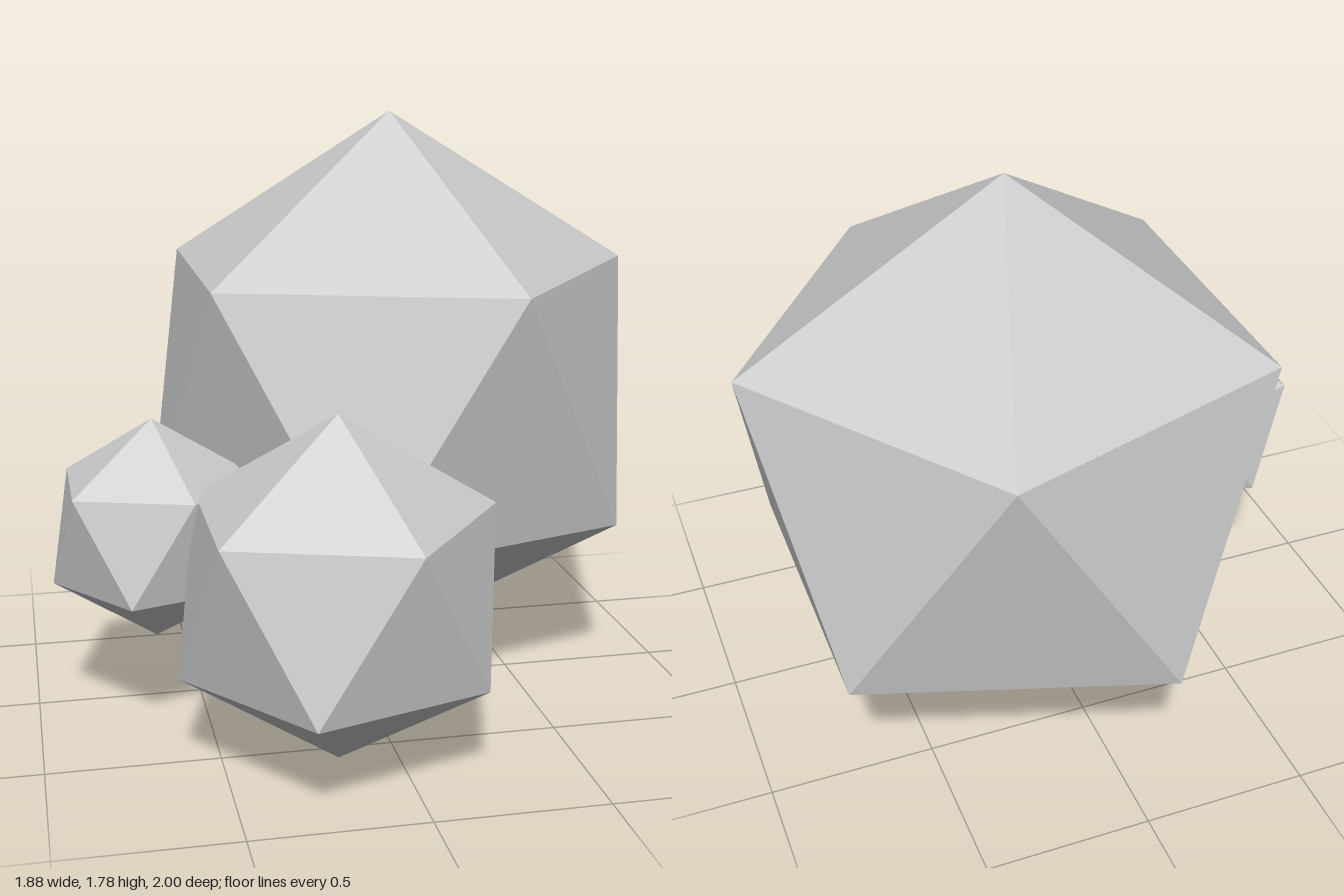
import * as THREE from 'three';

export function createModel() {
  const group = new THREE.Group();
  group.name = 'rockCluster';
  const material = new THREE.MeshStandardMaterial({ color: 0xcccccc, flatShading: true });

  // Icosahedron tipped so that one corner points straight up
  const golden = (1 + Math.sqrt(5)) / 2;
  const rock = new THREE.IcosahedronGeometry(1, 0);
  rock.rotateZ(-Math.atan(1 / golden));

  function addRock(name, radius, x, y, z) {
    const mesh = new THREE.Mesh(rock, material);
    mesh.name = name;
    mesh.scale.setScalar(radius);
    mesh.position.set(x, y, z);
    group.add(mesh);
  }

  // Three overlapping boulders
  addRock('largeRock', 0.87, 0.163, 0.91, -0.261);
  addRock('mediumRock', 0.509, -0.169, 0.509, 0.566);
  addRock('smallRock', 0.338, -0.641, 0.583, 0.123);

  return group;
}
